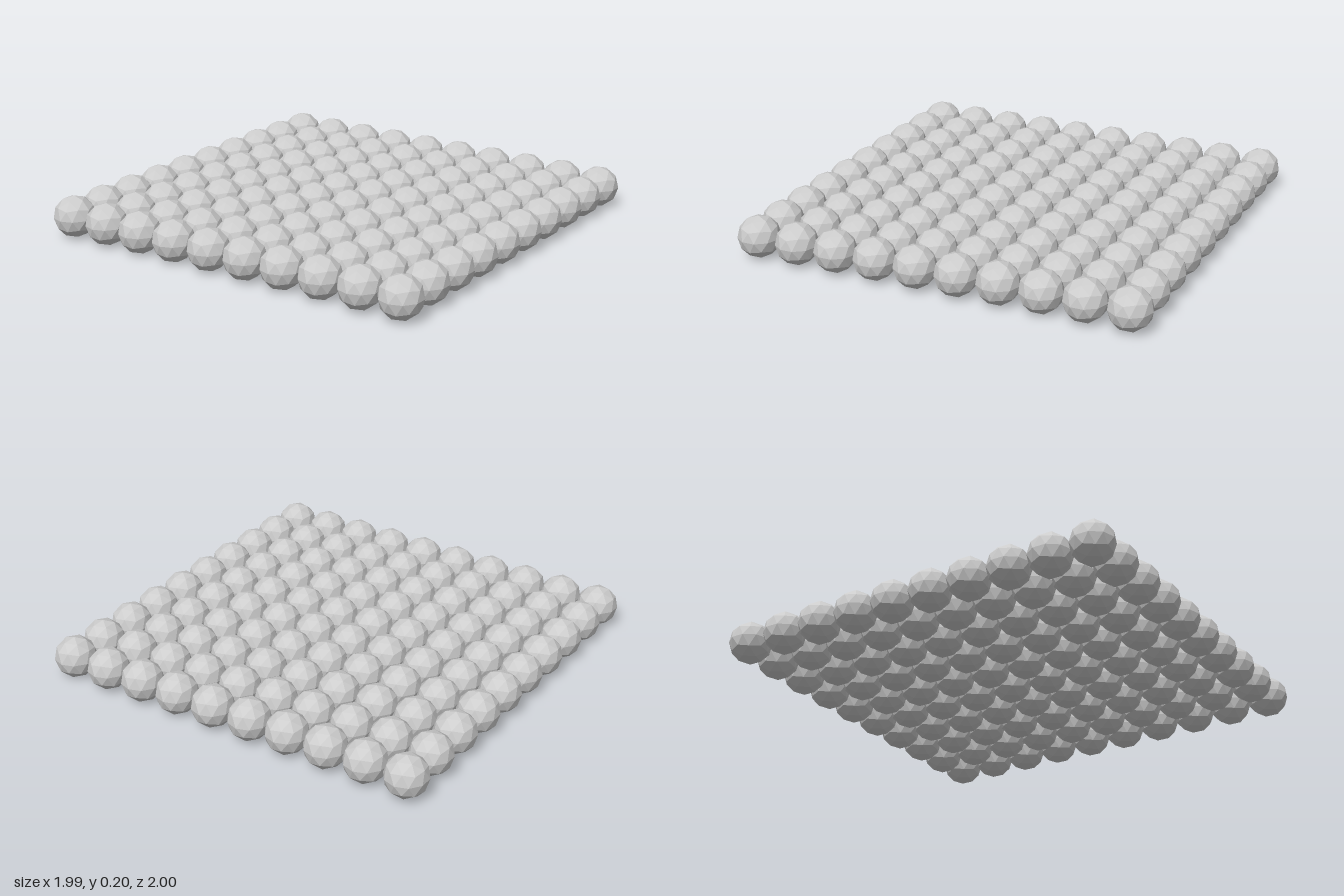
import * as THREE from 'three';

const COUNT = 10;      // balls per side
const PITCH = 0.2;     // distance between centres
const RADIUS = 0.1;

// Faceted ball with 80 faces, one corner pointing straight up and one upper-ring corner towards +x
function ballGeometry() {
  const golden = (1 + Math.sqrt(5)) / 2;
  return new THREE.IcosahedronGeometry(RADIUS, 1).rotateZ(-Math.atan(1 / golden));
}

export function createModel() {
  const model = new THREE.Group();
  model.name = 'ballGrid';

  const grey = new THREE.MeshStandardMaterial({ color: 0xcccccc, flatShading: true });
  grey.name = 'light grey';

  const geometry = ballGeometry();
  const offset = (i) => (i - (COUNT - 1) / 2) * PITCH;

  // Square sheet of balls, row by row from back to front
  for (let r = 0; r < COUNT; r++) {
    const row = new THREE.Group();
    row.name = `row${r + 1}`;
    row.position.set(0, RADIUS, offset(r));
    for (let c = 0; c < COUNT; c++) {
      const ball = new THREE.Mesh(geometry, grey);
      ball.name = `ball${c + 1}`;
      ball.position.x = offset(c);
      row.add(ball);
    }
    model.add(row);
  }
  return model;
}
